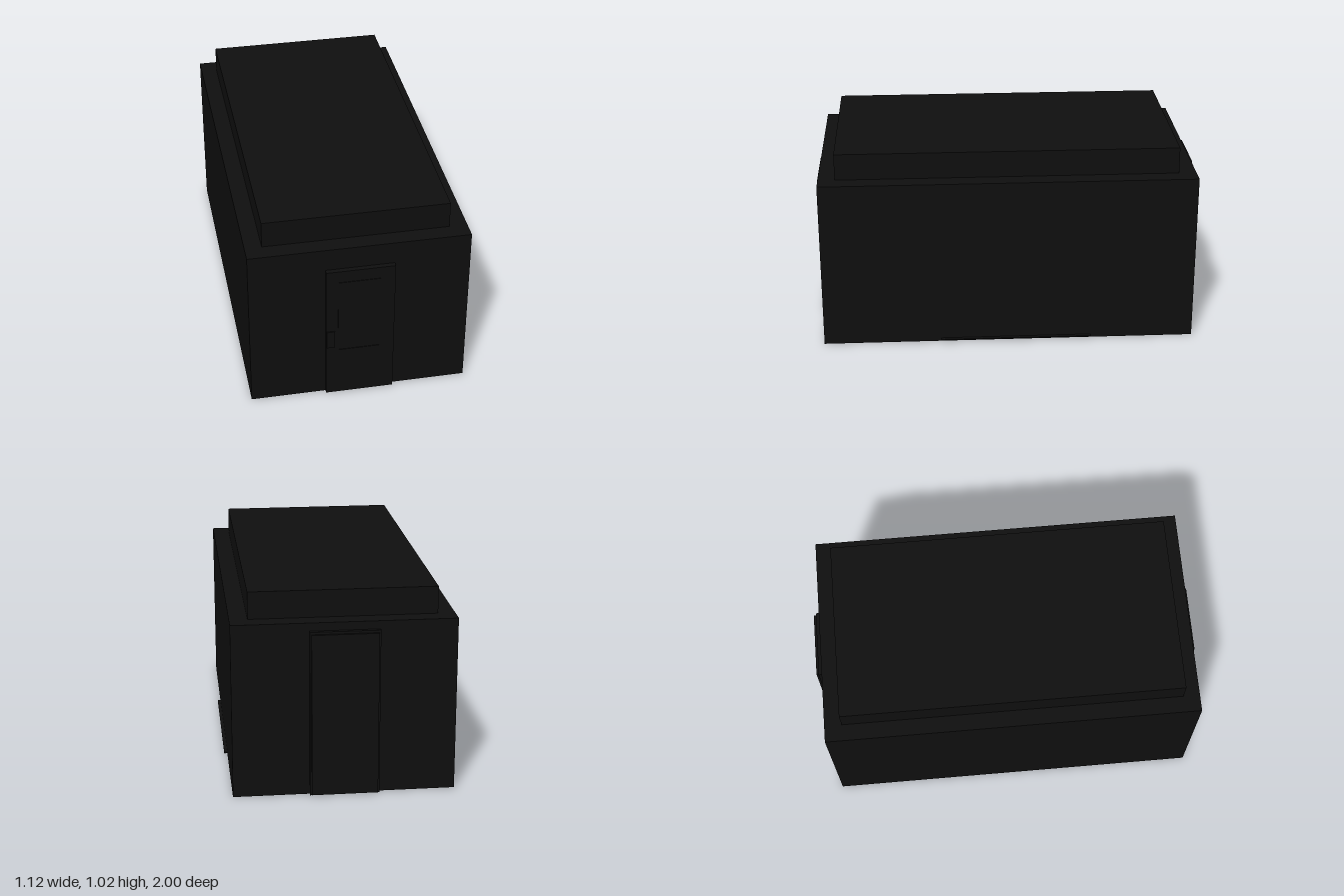
import * as THREE from 'three';

export function createModel() {
  const black = new THREE.MeshStandardMaterial({ color: 0x0e0e0e });
  black.name = 'nearBlack';
  const model = new THREE.Group();
  model.name = 'building';

  // Box given by its min and max corners
  const box = (name, x0, x1, y0, y1, z0, z1, parent = model) => {
    const mesh = new THREE.Mesh(new THREE.BoxGeometry(x1 - x0, y1 - y0, z1 - z0), black);
    mesh.position.set((x0 + x1) / 2, (y0 + y1) / 2, (z0 + z1) / 2);
    mesh.name = name;
    parent.add(mesh);
    return mesh;
  };

  // Main block and stepped roof
  box('walls', -0.56, 0.545, 0.007, 0.893, -0.968, 0.968);
  box('roof', -0.475, 0.455, 0.89, 1.03, -0.878, 0.882);

  // Thin sill along the foot of the left wall
  box('sill', 0.54, 0.562, 0.018, 0.024, -0.43, 0.355);

  // Front door with shallow panels and a handle plate
  const front = new THREE.Group();
  front.name = 'frontDoor';
  model.add(front);
  box('frontDoorSlab', -0.18, 0.165, 0.012, 0.775, 0.96, 0.993, front);
  for (const [y0, y1] of [[0.06, 0.29], [0.33, 0.71]])
    box('frontDoorPanel', -0.12, 0.09, y0, y1, 0.99, 0.996, front);
  box('frontDoorHandle', -0.178, -0.137, 0.31, 0.41, 0.99, 0.999, front);

  // Taller back door: frame with a raised leaf
  const back = new THREE.Group();
  back.name = 'backDoor';
  model.add(back);
  box('backDoorFrame', -0.18, 0.165, 0.007, 0.852, -0.988, -0.96, back);
  box('backDoorLeaf', -0.172, 0.157, 0.012, 0.84, -1, -0.98, back);

  return model;
}
